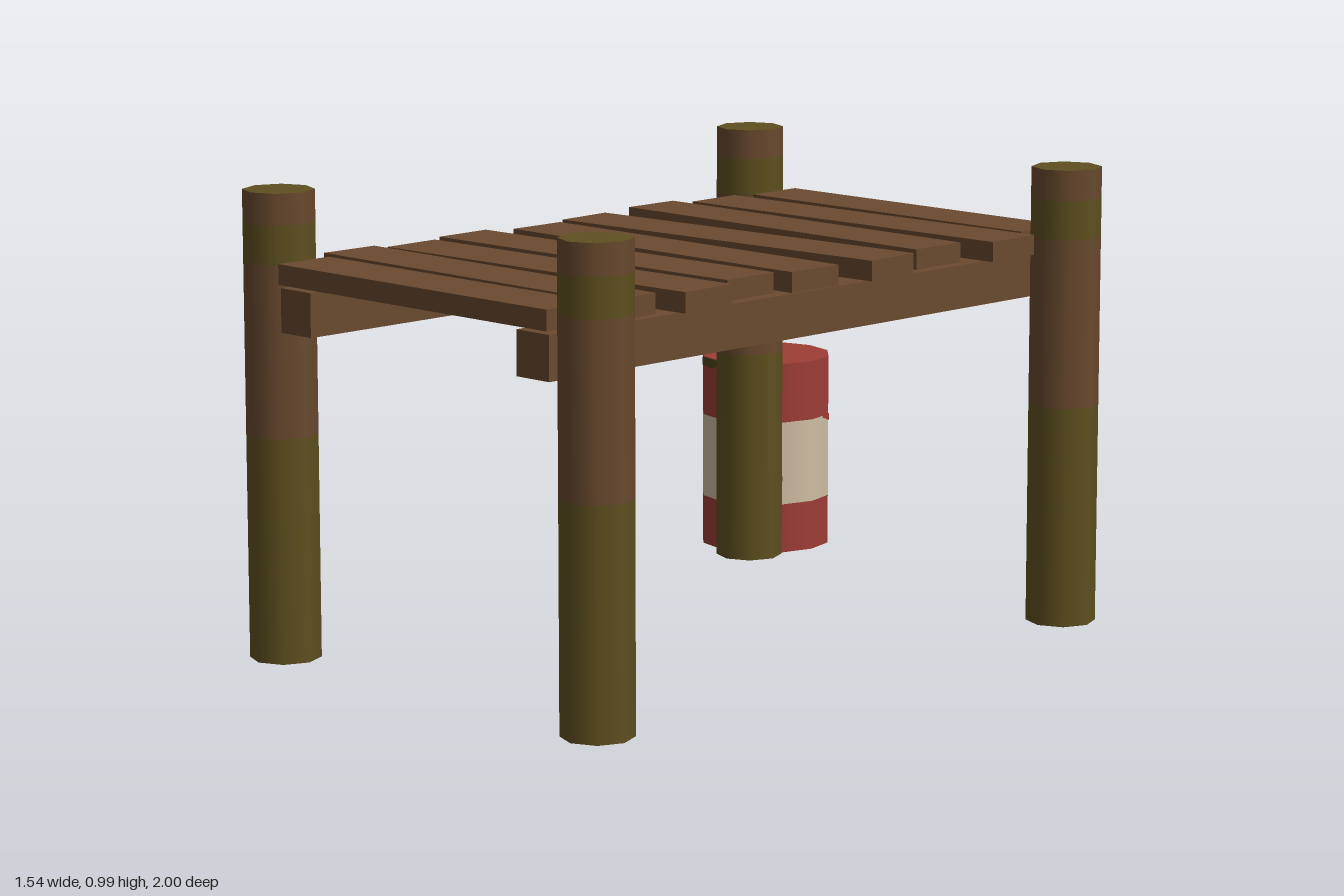
import * as THREE from 'three';

const material = (name, color, side = THREE.FrontSide) => {
  const m = new THREE.MeshStandardMaterial({ color, side });
  m.name = name;
  return m;
};

export function createModel() {
  const model = new THREE.Group();
  model.name = 'dockAndBarrel';
  const wood = material('brownWood', 0x6a4a2f);
  const moss = material('mossyWood', 0x5f5020, THREE.DoubleSide);
  const red = material('redPaint', 0x9e3d36);
  const cream = material('creamPaint', 0xd0bea4);
  const rust = material('rust', 0x51451f);

  const add = (parent, name, geometry, mat, x = 0, y = 0, z = 0) => {
    const mesh = new THREE.Mesh(geometry, mat);
    mesh.name = name;
    mesh.position.set(x, y, z);
    parent.add(mesh);
    return mesh;
  };
  // Open tube section between two heights
  const band = (parent, name, r, sides, y0, y1, mat) =>
    add(parent, name, new THREE.CylinderGeometry(r, r, y1 - y0, sides, 1, true), mat, 0, (y0 + y1) / 2, 0);
  const disc = (parent, name, r, sides, y, mat, down = false) => {
    const g = new THREE.CircleGeometry(r, sides).rotateX(down ? Math.PI / 2 : -Math.PI / 2);
    return add(parent, name, g, mat, 0, y, 0);
  };

  // Four posts, mossy at the foot and near the top, hollow underneath
  for (const x of [-0.079, 0.706]) {
    for (const z of [-0.237, 0.936]) {
      const post = new THREE.Group();
      post.name = 'post';
      post.position.set(x, 0, z);
      band(post, 'postFoot', 0.063, 8, 0.155, 0.555, moss);
      band(post, 'postMiddle', 0.063, 8, 0.555, 0.86, wood);
      band(post, 'postMossRing', 0.063, 8, 0.86, 0.93, moss);
      band(post, 'postHead', 0.063, 8, 0.93, 0.985, wood);
      disc(post, 'postTop', 0.063, 8, 0.985, moss);
      model.add(post);
    }
  }

  // Two long beams under the deck
  for (const x of [0.019, 0.608]) {
    add(model, 'beam', new THREE.BoxGeometry(0.077, 0.078, 1.27), wood, x, 0.785, 0.35);
  }

  // Deck planks: left end x, right end x, z at each end
  const planks = [
    [-0.02, 0.646, -0.242, -0.242],
    [-0.037, 0.688, -0.095, -0.116],
    [-0.069, 0.651, 0.038, 0.043],
    [-0.048, 0.677, 0.233, 0.190],
    [-0.026, 0.667, 0.372, 0.376],
    [-0.053, 0.646, 0.529, 0.513],
    [-0.032, 0.683, 0.672, 0.651],
    [-0.058, 0.651, 0.794, 0.804],
    [-0.02, 0.646, 0.932, 0.932],
  ];
  for (const [x0, x1, z0, z1] of planks) {
    const plank = add(model, 'plank', new THREE.BoxGeometry(x1 - x0, 0.036, 0.115), wood,
      (x0 + x1) / 2, 0.848, (z0 + z1) / 2);
    plank.rotation.y = -Math.atan2(z1 - z0, x1 - x0);
  }

  // Barrel with a cream middle band
  const R = 0.135;
  const barrel = new THREE.Group();
  barrel.name = 'barrel';
  barrel.position.set(-0.637, 0, -0.865);
  model.add(barrel);
  band(barrel, 'barrelLower', R, 12, 0, 0.102, red);
  band(barrel, 'barrelMiddle', R, 12, 0.102, 0.275, cream);
  band(barrel, 'barrelUpper', R, 12, 0.275, 0.398, red);
  disc(barrel, 'barrelLid', R, 12, 0.398, red);
  disc(barrel, 'barrelBase', R, 12, 0, red, true);
  const bung = disc(barrel, 'bungHole', 0.018, 8, 0.4, rust);
  bung.position.set(0.008, 0.4, 0.075);

  // Thin painted strips that follow the barrel's facets: [degrees, bottom, top]
  const strip = (name, mat, rows) => {
    const pos = [], index = [];
    rows.forEach(([deg, y0, y1], i) => {
      const t = THREE.MathUtils.degToRad(deg);
      const off = THREE.MathUtils.degToRad(THREE.MathUtils.euclideanModulo(deg, 30) - 15);
      const r = R * Math.cos(Math.PI / 12) / Math.cos(off) + 0.0015;
      for (const y of [y0, y1]) pos.push(r * Math.sin(t), y, r * Math.cos(t));
      if (i) {
        const a = 2 * i - 2;
        index.push(a, a + 2, a + 3, a, a + 3, a + 1);
      }
    });
    const g = new THREE.BufferGeometry();
    g.setAttribute('position', new THREE.Float32BufferAttribute(pos, 3));
    g.setIndex(index);
    g.computeVertexNormals();
    add(barrel, name, g, mat);
  };
  strip('rustSpot', rust, [[41, 0.15, 0.16], [46, 0.155, 0.195], [50, 0.15, 0.215], [54, 0.155, 0.195], [59, 0.15, 0.16]]);
  strip('rimStain', rust, [[-45, 0.39, 0.397], [-30, 0.38, 0.397], [-15, 0.377, 0.397], [0, 0.388, 0.397], [12, 0.393, 0.397]]);
  strip('scratch', red, [[141, 0.185, 0.195], [150, 0.175, 0.205], [165, 0.18, 0.205], [180, 0.19, 0.21],
    [195, 0.205, 0.22], [210, 0.2, 0.23], [225, 0.21, 0.225], [240, 0.21, 0.235], [255, 0.21, 0.235], [272, 0.215, 0.235]]);
  strip('paintDrip', red, [[108, 0.272, 0.277], [120, 0.262, 0.277], [135, 0.257, 0.277], [150, 0.265, 0.277], [165, 0.272, 0.277]]);

  return model;
}
